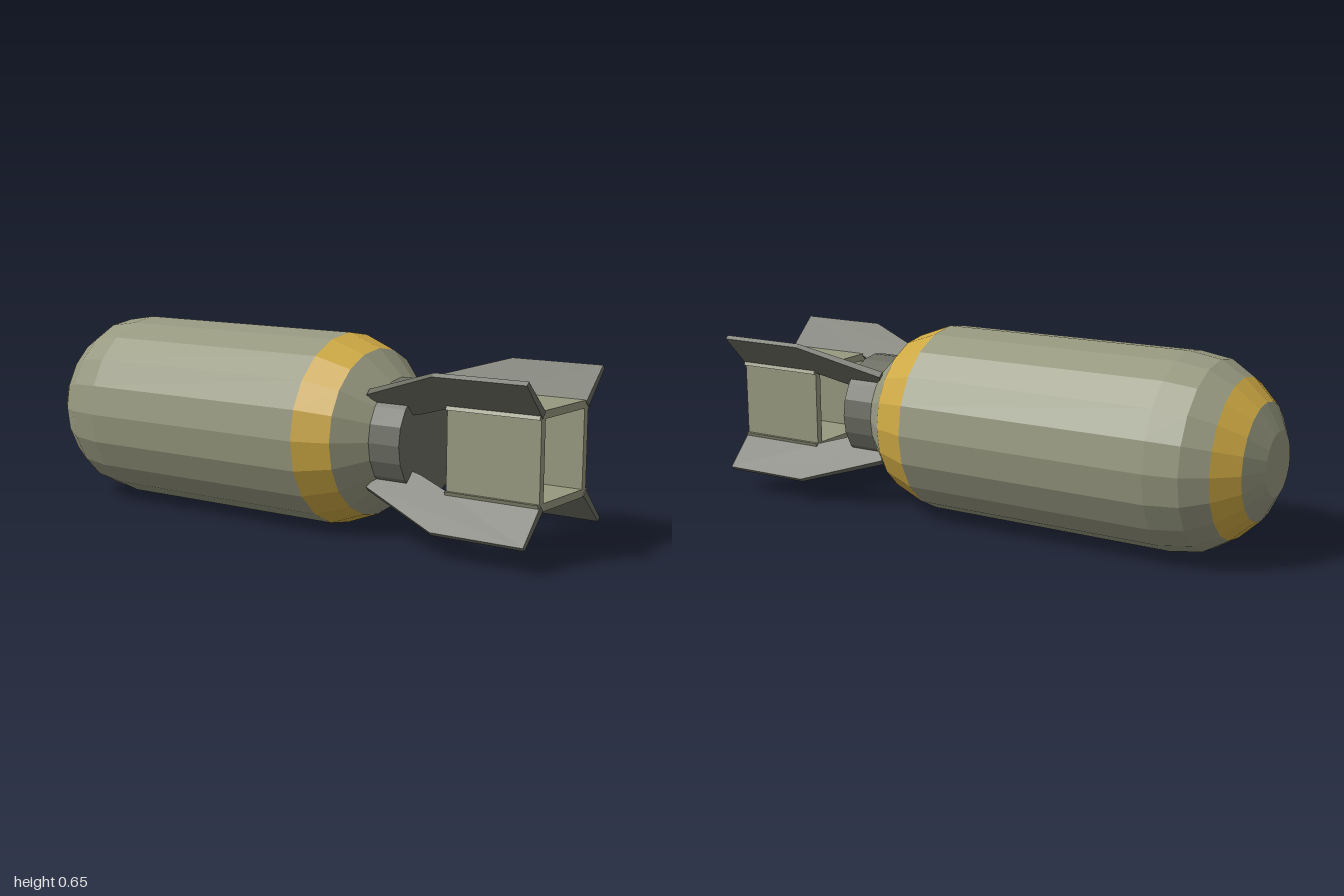
import * as THREE from 'three';

const SIDES = 20;
const AXIS_Y = 0.326;

function material(name, color) {
  const m = new THREE.MeshStandardMaterial({ color, flatShading: true });
  m.name = name;
  return m;
}

export function createModel() {
  const olive = material('olive', 0x96987f);
  const yellow = material('yellow', 0xcda843);
  const darkOlive = material('darkOlive', 0x6b6d62);

  const model = new THREE.Group();
  model.name = 'bomb';
  const assembly = new THREE.Group();
  assembly.name = 'assembly';
  assembly.position.y = AXIS_Y;
  model.add(assembly);

  const add = (name, geometry, mat) => {
    const mesh = new THREE.Mesh(geometry, mat);
    mesh.name = name;
    assembly.add(mesh);
    return mesh;
  };

  // Surface of revolution about the x axis from [x, radius] pairs, front to back
  const turned = (name, profile, mat) => {
    const points = profile.map(([x, r]) => new THREE.Vector2(r, x));
    return add(name, new THREE.LatheGeometry(points, SIDES).rotateZ(-Math.PI / 2), mat);
  };

  // Shell sections
  turned('noseCap', [[-1, 0], [-1, 0.105], [-0.955, 0.19]], olive);
  turned('noseBand', [[-0.955, 0.19], [-0.88, 0.26]], yellow);
  turned('body', [[-0.88, 0.26], [-0.8, 0.308], [-0.69, 0.325], [0.2, 0.322]], olive);
  turned('rearBand', [[0.2, 0.322], [0.32, 0.277]], yellow);
  turned('tailCone', [[0.32, 0.277], [0.41, 0.19], [0.41, 0]], olive);
  turned('neck', [[0.405, 0], [0.405, 0.19], [0.525, 0.19], [0.525, 0]], darkOlive);

  // Open square tail box: bevelled top and bottom plates, plain side plates
  const boxStart = 0.675, boxLength = 0.322;
  const plate = new THREE.Shape([
    new THREE.Vector2(-0.162, 0.127), new THREE.Vector2(0.162, 0.127),
    new THREE.Vector2(0.15, 0.152), new THREE.Vector2(-0.15, 0.152),
  ]);
  for (const [name, turn] of [['topPlate', 0], ['bottomPlate', Math.PI]]) {
    const g = new THREE.ExtrudeGeometry(plate, { depth: boxLength, bevelEnabled: false });
    g.rotateY(Math.PI / 2).translate(boxStart, 0, 0).rotateX(turn);
    add(name, g, olive);
  }
  for (const [name, side] of [['leftPlate', 1], ['rightPlate', -1]]) {
    const g = new THREE.BoxGeometry(boxLength, 0.256, 0.025);
    g.translate(boxStart + boxLength / 2, 0, side * 0.1375);
    add(name, g, olive);
  }

  // Four diagonal fins, outlined as (x, radius) and thinner towards the tip
  const outline = [
    [0.385, 0.222], [0.4, 0.19], [0.52, 0.14], [0.56, 0.15],
    [0.68, 0.197], [1, 0.197], [1, 0.345], [0.68, 0.345],
  ];
  const finShape = new THREE.Shape(outline.map(([x, r]) => new THREE.Vector2(x, r)));
  for (let i = 0; i < 4; i++) {
    const g = new THREE.ExtrudeGeometry(finShape, { depth: 1, bevelEnabled: false });
    const p = g.attributes.position;
    for (let k = 0; k < p.count; k++) {
      const taper = THREE.MathUtils.mapLinear(p.getY(k), 0.2, 0.345, 0.025, 0.016);
      p.setZ(k, (p.getZ(k) - 0.5) * taper);
    }
    g.rotateX(Math.PI / 4 + i * Math.PI / 2);
    g.computeVertexNormals();
    add('fin' + (i + 1), g, darkOlive);
  }

  return model;
}
